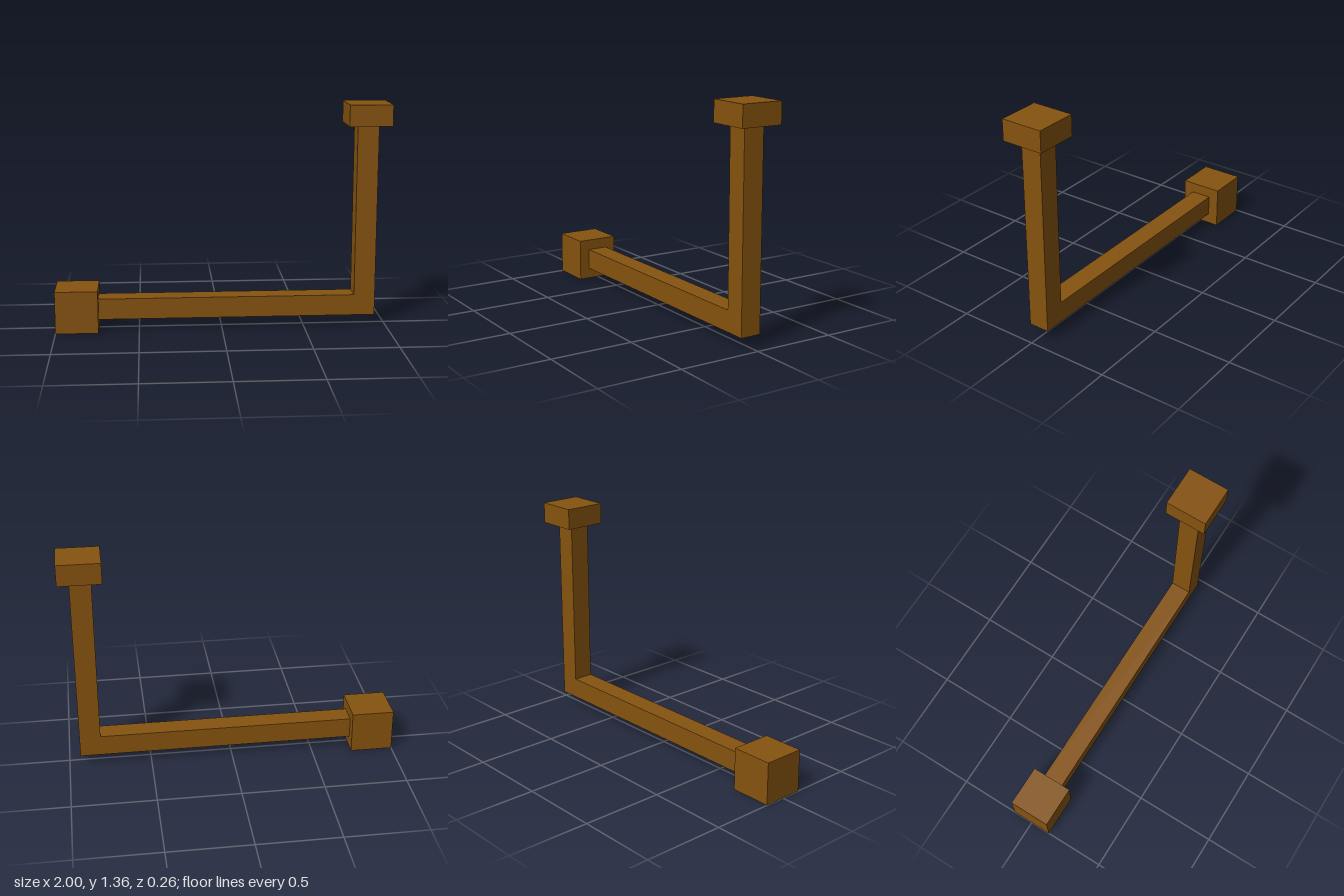
import * as THREE from 'three';

export function createModel() {
  const group = new THREE.Group();
  const brown = new THREE.MeshStandardMaterial({ color: 0x85530f });
  brown.name = 'brown';

  const add = (name, geometry, x, y, z) => {
    const mesh = new THREE.Mesh(geometry, brown);
    mesh.name = name;
    mesh.position.set(x, y, z);
    group.add(mesh);
  };

  // L-shaped square pipe: horizontal run and upright in one piece
  const pipeWidth = 0.127;
  const profile = new THREE.Shape([
    [-0.745, 0.066], [0.932, 0.066], [0.932, 1.23],
    [0.805, 1.23], [0.805, 0.193], [-0.745, 0.193],
  ].map(([x, y]) => new THREE.Vector2(x, y)));
  const pipe = new THREE.ExtrudeGeometry(profile, { depth: pipeWidth, bevelEnabled: false });
  add('elbowPipe', pipe, 0, 0, -pipeWidth / 2);

  // Cube at the far end of the horizontal run
  add('endBlock', new THREE.BoxGeometry(0.256, 0.258, 0.256), -0.872, 0.129, 0);

  // Flat cap on top of the upright
  add('topCap', new THREE.BoxGeometry(0.256, 0.128, 0.256), 0.872, 1.293, 0);

  return group;
}
